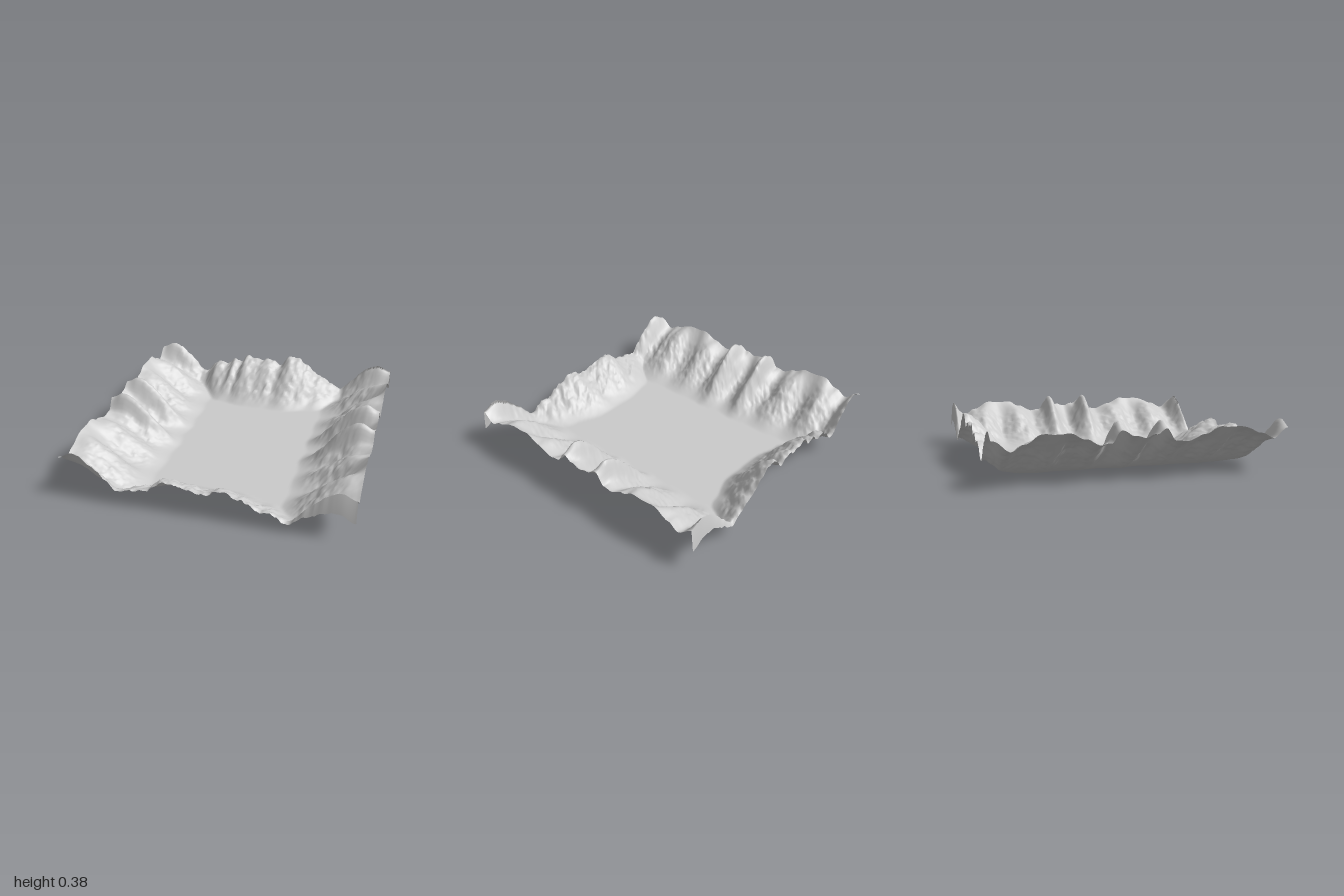
import * as THREE from 'three';

const N = 140; // grid cells per side

// Crest height of the side ranges along z
const sideCrest = [[-1, .36], [-.88, .25], [-.8, .3], [-.7, .345], [-.6, .335], [-.5, .345], [-.42, .315],
  [-.31, .26], [-.25, .28], [-.18, .39], [-.09, .31], [-.02, .29], [.05, .32], [.12, .39], [.19, .28],
  [.26, .26], [.4, .315], [.5, .345], [.56, .335], [.68, .345], [.8, .3], [.89, .255], [1, .36]];
// Slope shape along z: 1 on bulging spurs, 0 in hollow gullies
const sideSpur = [[-1, 1], [-.88, .5], [-.77, .65], [-.6, 0], [-.44, .65], [-.32, .4], [-.18, 1],
  [-.03, 0], [.12, 1], [.27, .4], [.39, .65], [.55, 0], [.72, .65], [.88, .5], [1, 1]];
// Crest heights of the two end ranges along x
const backCrest = [[-1, .1], [-.6, .13], [-.46, .25], [-.4, .22], [-.33, .28], [-.29, .25], [-.22, .315],
  [-.1, .29], [0, .305], [.06, .26], [.16, .35], [.22, .335], [.3, .28], [.4, .2], [.5, .15], [.6, .1], [1, .1]];
const frontCrest = [[-1, .1], [-.6, .12], [-.4, .16], [-.25, .25], [-.12, .22], [0, .19], [.13, .24],
  [.25, .2], [.4, .13], [.6, .08], [1, .1]];
// Where the end slopes meet the floor, along x
const endFoot = [[-1, .88], [-.6, .82], [-.4, .68], [-.15, .63], [.15, .63], [.4, .7], [.6, .82], [1, .88]];

const { smoothstep: ss, lerp, clamp } = THREE.MathUtils;

function interp(table, v) {
  let i = 1;
  while (i < table.length - 1 && v > table[i][0]) i++;
  const [a, ya] = table[i - 1], [b, yb] = table[i];
  return lerp(ya, yb, ss(v, a, b));
}

// Seeded value noise in -1..1
function hash(i, j) {
  const s = Math.sin(i * 127.1 + j * 311.7) * 43758.5453;
  return (s - Math.floor(s)) * 2 - 1;
}
function noise(x, y) {
  const i = Math.floor(x), j = Math.floor(y);
  const u = ss(x - i, 0, 1), v = ss(y - j, 0, 1);
  const top = lerp(hash(i, j), hash(i + 1, j), u);
  const low = lerp(hash(i, j + 1), hash(i + 1, j + 1), u);
  return lerp(top, low, v);
}

// Side range: spurs and gullies, mirrored about x = 0
function sideHeight(x, z) {
  const ax = Math.abs(x), spur = interp(sideSpur, z);
  const gullyRise = Math.pow(clamp((ax - .42) / .58, 0, 1), 1.9);
  const spurRise = ss(ax, .43, .91) - .12 * spur * ss(ax, .9, 1);
  return interp(sideCrest, z) * lerp(gullyRise, spurRise, spur);
}

// End range, rising towards the front or back edge
function endHeight(x, z) {
  const foot = interp(endFoot, x);
  const t = clamp((Math.abs(z) - foot + .02) / (1 - foot), 0, 1);
  const rise = .45 * t + .55 * ss(t, 0, 1);
  return interp(z < 0 ? backCrest : frontCrest, x + .05 * (1 - t)) * rise;
}

function height(x, z) {
  const ax = Math.abs(x);
  const a = sideHeight(x, z), b = endHeight(x, z);
  let h = Math.max(a, b);
  // Rocky streaks running down the slopes, fading towards the side crests
  const streak = a > b ? noise(ax * 9, z * 20) : noise(x * 24 + z * 9, z * 9);
  const grain = .009 * noise(x * 38, z * 38) + .005 * noise(x * 70, z * 70);
  h += (.012 * streak + grain) * ss(h, .01, .12) * (1 - .85 * ss(ax, .78, .95));
  // Dropped rim at the two left-hand corners
  if (Math.abs(z) > .999) h -= .16 * ss(x, .5, .95);
  return Math.max(.006, h);
}

export function createModel() {
  const group = new THREE.Group();
  group.name = 'valleyTerrain';

  const geometry = new THREE.PlaneGeometry(2, 2, N, N).rotateX(-Math.PI / 2);
  const pos = geometry.attributes.position;
  for (let i = 0; i < pos.count; i++) pos.setY(i, height(pos.getX(i), pos.getZ(i)));
  geometry.computeVertexNormals();
  geometry.computeBoundingBox();
  geometry.translate(0, -geometry.boundingBox.min.y, 0);

  const terrain = new THREE.Mesh(geometry,
    new THREE.MeshStandardMaterial({ color: 0xcccccc, side: THREE.DoubleSide }));
  terrain.name = 'mountainRing';
  group.add(terrain);
  return group;
}
